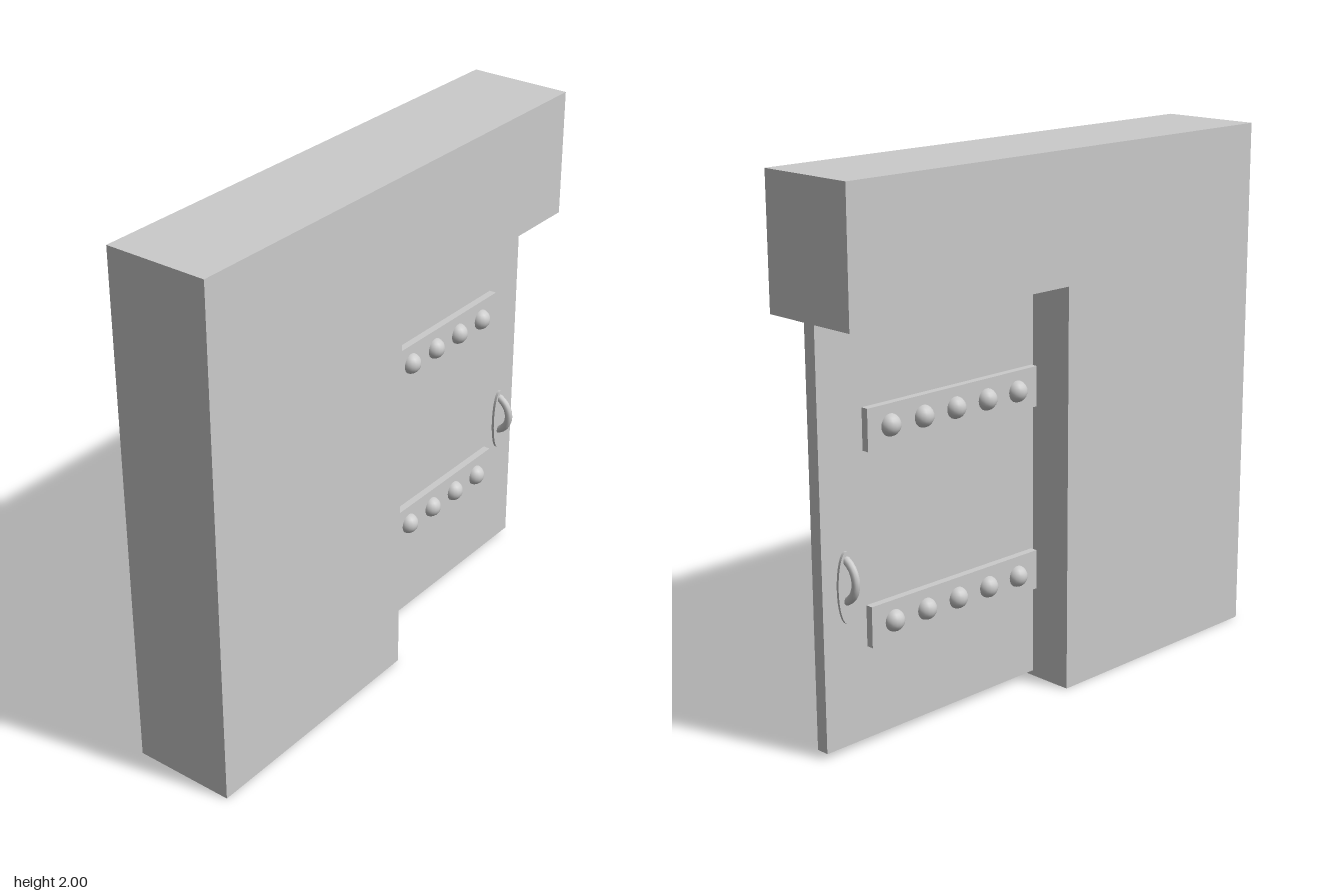
import * as THREE from 'three';

export function createModel() {
  const model = new THREE.Group();
  const material = new THREE.MeshStandardMaterial({ color: 0xcccccc });

  const add = (parent, name, geometry, x, y, z) => {
    const mesh = new THREE.Mesh(geometry, material);
    mesh.name = name;
    mesh.position.set(x, y, z);
    parent.add(mesh);
    return mesh;
  };

  // L-shaped wall: solid half plus the lintel over the doorway
  const outline = new THREE.Shape([
    [-1, 0], [0, 0], [0, 1.52], [1, 1.52], [1, 2], [-1, 2],
  ].map(([x, y]) => new THREE.Vector2(x, y)));
  add(model, 'wall', new THREE.ExtrudeGeometry(outline, { depth: 0.4, bevelEnabled: false }), 0, 0, -0.2);

  // Door leaf with a small gap below
  const door = new THREE.Group();
  door.name = 'door';
  model.add(door);
  add(door, 'doorPanel', new THREE.BoxGeometry(1, 1.5, 0.05), 0.5, 0.77, 0);

  // Straps run through the door and show on both faces
  const stud = new THREE.SphereGeometry(0.04, 16, 12);
  for (const y of [0.435, 1.135]) {
    add(door, 'strap', new THREE.BoxGeometry(0.8, 0.15, 0.106), 0.41, y, 0);
    for (const side of [1, -1]) {
      for (let i = 0; i < 5; i++) add(door, 'stud', stud, 0.11 + i * 0.15, y, side * 0.05);
    }
  }

  // Oval handle plate through the door
  const plate = new THREE.CylinderGeometry(1, 1, 0.07, 32);
  plate.rotateX(Math.PI / 2).scale(0.038, 0.13, 1);
  add(door, 'handlePlate', plate, 0.9, 0.6, 0);

  // Half-ring pull on each face
  const pull = new THREE.TorusGeometry(0.08, 0.015, 10, 14, Math.PI);
  pull.rotateZ(-Math.PI / 2);
  for (const side of [1, -1]) {
    add(door, 'handlePull', pull, 0.9, 0.625, 0).rotation.y = -side * Math.PI / 2;
  }
  return model;
}
